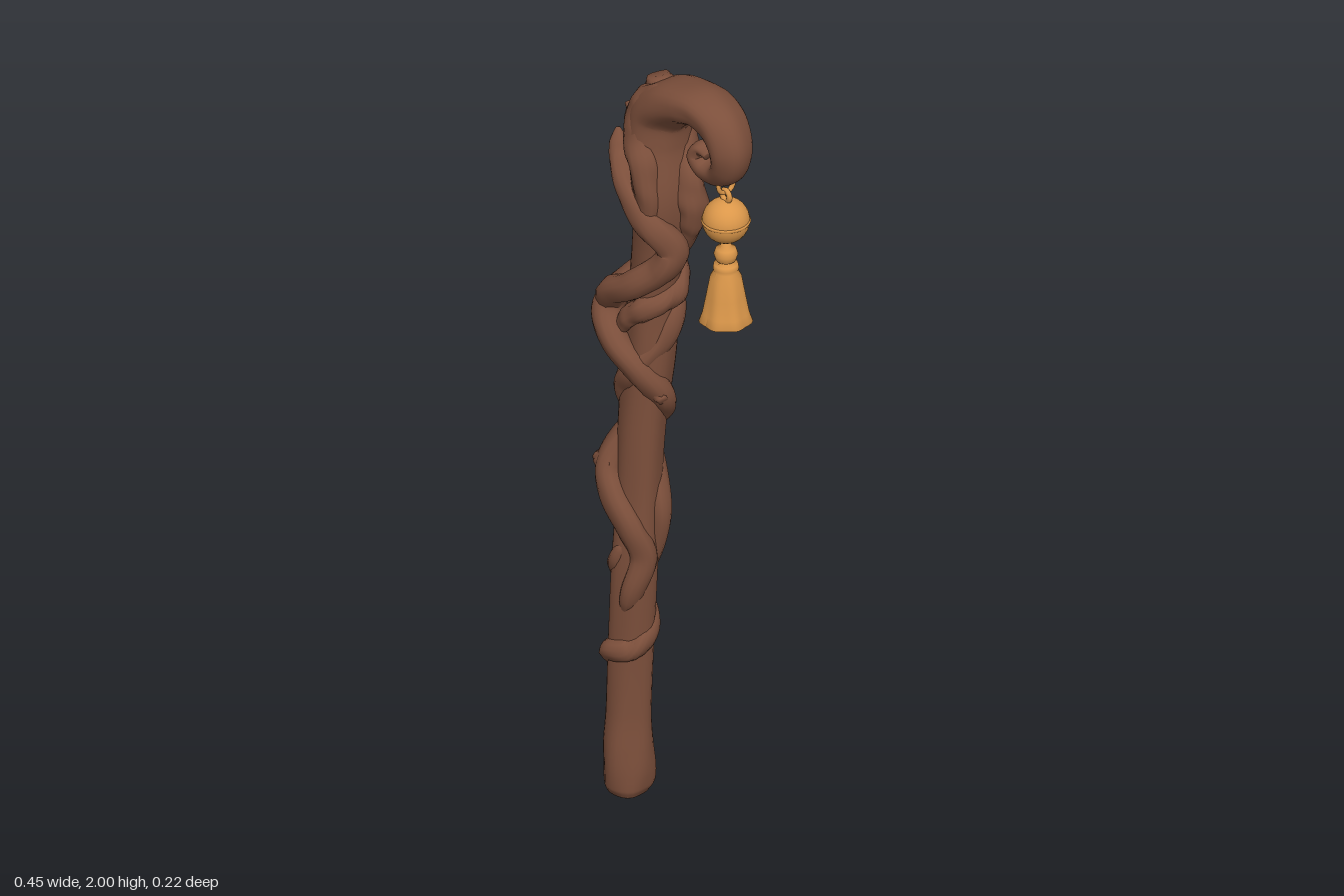
import * as THREE from 'three';

const wood = new THREE.MeshStandardMaterial({ color: 0x7c4f3b });
wood.name = 'brown wood';
const gold = new THREE.MeshStandardMaterial({ color: 0xdb974a });
gold.name = 'warm gold';

// Sweeps a gnarled oval section along points [x, y, z, radius, depthRadius]
function sweep(pts, steps, sides, gnarl, seed, roundEnds) {
  const path = new THREE.CatmullRomCurve3(pts.map(p => new THREE.Vector3(p[0], p[1], p[2])));
  const radii = new THREE.CatmullRomCurve3(pts.map(p => new THREE.Vector3(p[3], p[4] ?? p[3], 0)), false, 'catmullrom', .4);
  const pos = [], idx = [];
  const Z = new THREE.Vector3(0, 0, 1);
  for (let i = 0; i <= steps; i++) {
    const t = i / steps;
    const c = path.getPoint(t), r = radii.getPoint(t), T = path.getTangent(t);
    const N = new THREE.Vector3().crossVectors(Z, T).normalize();
    const B = new THREE.Vector3().crossVectors(T, N);
    const end = roundEnds ? Math.min(1, Math.sqrt(Math.min(t, 1 - t) * 20 + 0.08)) : 1;
    for (let j = 0; j < sides; j++) {
      const a = j / sides * Math.PI * 2;
      const k = end * (1 + gnarl * (Math.sin(3 * a + t * 17 + seed)
        + 0.6 * Math.sin(5 * a - t * 26 + seed * 2) + 0.5 * Math.sin(a + t * 40 + seed)));
      const p = c.clone().addScaledVector(N, Math.cos(a) * r.x * k).addScaledVector(B, Math.sin(a) * r.y * k);
      pos.push(p.x, Math.max(0, p.y), p.z);
    }
  }
  for (let i = 0; i < steps; i++) for (let j = 0; j < sides; j++) {
    const a = i * sides + j, b = i * sides + (j + 1) % sides;
    idx.push(a, b, a + sides, b, b + sides, a + sides);
  }
  // End caps
  const s = path.getPoint(0), e = path.getPoint(1), n = pos.length / 3, last = steps * sides;
  pos.push(s.x, s.y, s.z, e.x, e.y, e.z);
  for (let j = 0; j < sides; j++) {
    const k = (j + 1) % sides;
    idx.push(n, k, j, n + 1, last + j, last + k);
  }
  const g = new THREE.BufferGeometry();
  g.setAttribute('position', new THREE.Float32BufferAttribute(pos, 3));
  g.setIndex(idx);
  g.computeVertexNormals();
  return g;
}

function add(parent, name, geometry, material, x = 0, y = 0, z = 0) {
  const m = new THREE.Mesh(geometry, material);
  m.name = name;
  m.position.set(x, y, z);
  parent.add(m);
  return m;
}

export function createModel() {
  const staff = new THREE.Group();
  staff.name = 'staff';

  // Shaft running into the crook and its inward curl
  add(staff, 'shaftAndCrook', sweep([
    [-.125, 0, .035, .05], [-.125, .02, .035, .06], [-.125, .06, .035, .062], [-.125, .12, .035, .06],
    [-.122, .22, .033, .054],
    [-.118, .4, .03, .054], [-.112, .6, .026, .055], [-.115, .8, .01, .054], [-.113, 1, 0, .057],
    [-.105, 1.2, -.015, .062], [-.1, 1.36, -.02, .06], [-.08, 1.5, -.02, .063], [-.06, 1.65, -.02, .067, .076],
    [-.083, 1.79, -.025, .07, .078], [-.078, 1.87, -.03, .07, .08], [-.03, 1.915, -.032, .06, .08],
    [.04, 1.944, -.033, .05, .075], [.095, 1.952, -.034, .046, .068], [.15, 1.93, -.037, .046, .062],
    [.18, 1.88, -.038, .045, .056], [.173, 1.83, -.038, .039, .048], [.138, 1.795, -.036, .032, .04],
    [.095, 1.79, -.033, .029, .035], [.067, 1.815, -.03, .025, .031], [.082, 1.838, -.03, .02, .026],
    [.105, 1.828, -.03, .012, .016],
  ], 270, 28, .04, .7, false), wood);

  // Roots and vines winding around the shaft
  const vines = {
    lowerVine: [[-.15, .3, .02, .018], [-.155, .36, .05, .026], [-.13, .395, .078, .029], [-.085, .41, .055, .03],
      [-.08, .45, .01, .026], [-.12, .52, -.005, .026], [-.153, .58, .03, .026], [-.13, .64, .062, .024], [-.1, .7, .055, .014]],
    middleVine: [[-.11, .48, .06, .016], [-.085, .57, .055, .028], [-.07, .66, .03, .033], [-.088, .74, .055, .033],
      [-.135, .82, .07, .034], [-.168, .88, .058, .036], [-.152, .97, .005, .033], [-.1, 1.03, -.04, .03],
      [-.062, 1.1, -.015, .034], [-.08, 1.17, .035, .034], [-.14, 1.24, .065, .035], [-.185, 1.31, .05, .038],
      [-.15, 1.39, 0, .035], [-.1, 1.45, -.055, .03], [-.055, 1.52, -.06, .022]],
    backVine: [[-.13, .55, 0, .016], [-.085, .68, -.015, .028], [-.075, .77, -.02, .03], [-.11, .88, -.027, .03],
      [-.148, 1.0, -.015, .028], [-.145, 1.1, .025, .029], [-.1, 1.17, .033, .03], [-.065, 1.25, -.02, .032],
      [-.065, 1.32, -.05, .033], [-.11, 1.4, -.065, .03], [-.137, 1.48, -.035, .028], [-.1, 1.58, .025, .022]],
    crossingRoot: [[-.14, 1.26, .045, .016], [-.11, 1.31, .04, .026], [-.065, 1.35, .02, .031], [-.045, 1.38, -.04, .031],
      [-.08, 1.43, -.075, .028], [-.125, 1.5, -.045, .02]],
    branch: [[-.16, 1.2, .01, .018], [-.19, 1.3, .03, .032], [-.15, 1.37, .062, .035], [-.075, 1.42, .055, .034],
      [-.018, 1.475, .02, .037], [.002, 1.53, 0, .038], [-.028, 1.59, .035, .036], [-.08, 1.64, .05, .032],
      [-.14, 1.675, .035, .03], [-.19, 1.705, .01, .025], [-.215, 1.765, -.005, .017]],
    upperVine: [[-.065, 1.47, -.055, .022], [-.022, 1.56, -.062, .034], [0, 1.62, -.06, .038], [-.008, 1.69, -.055, .038],
      [-.045, 1.77, -.068, .036], [-.06, 1.85, -.08, .03], [-.02, 1.91, -.078, .022]],
    crookRoot: [[-.05, 1.55, .04, .018], [-.045, 1.66, .035, .033], [-.062, 1.75, .036, .037], [-.098, 1.82, .022, .038],
      [-.1, 1.89, .005, .036], [-.055, 1.93, -.002, .032], [.02, 1.95, -.005, .025]],
    sideRoot: [[-.11, 1.6, -.045, .018], [-.11, 1.7, -.04, .03], [-.125, 1.78, -.035, .033], [-.118, 1.88, -.045, .034],
      [-.065, 1.935, -.055, .03]],
  };
  Object.entries(vines).forEach(([name, pts], i) =>
    add(staff, name, sweep(pts, pts.length * 9, 14, .06, i * 1.7, true), wood));

  // Broken twig stubs and knots
  const stubs = [
    [[-.13, 1.8, -.01, .026], [-.152, 1.825, -.01, .021], [-.176, 1.855, -.01, .013]],
    [[-.07, 1.9, -.03, .046], [-.083, 1.935, -.03, .04], [-.093, 1.96, -.03, .028]],
    [[-.07, 1.13, .0, .022], [-.045, 1.11, .005, .019], [-.027, 1.1, .005, .012]],
    [[-.15, .89, .05, .03], [-.18, .885, .06, .028], [-.208, .885, .062, .016]],
    [[-.1, .42, .05, .024], [-.075, .425, .045, .022], [-.06, .43, .04, .014]],
  ];
  stubs.forEach((pts, i) => add(staff, 'twigStub' + (i + 1), sweep(pts, 10, 10, .05, i, false), wood));

  // Hanging charm: links, round bell, tassel
  const charm = new THREE.Group();
  charm.name = 'charm';
  charm.position.set(.16, 0, -.037);
  staff.add(charm);
  const link = add(charm, 'upperLink', new THREE.TorusGeometry(.022, .006, 8, 20), gold, 0, 1.773);
  link.rotation.y = Math.PI / 2;
  add(charm, 'lowerLink', new THREE.TorusGeometry(.014, .007, 8, 18), gold, 0, 1.742);
  add(charm, 'bell', new THREE.SphereGeometry(.057, 28, 18), gold, 0, 1.675);
  const rim = add(charm, 'bellRim', new THREE.TorusGeometry(.055, .0045, 8, 32), gold, 0, 1.675);
  rim.rotation.x = Math.PI / 2;

  const profile = [[0, 1.63], [.012, 1.628], [.013, 1.605], [.024, 1.598], [.029, 1.583], [.024, 1.567], [.018, 1.562],
    [.029, 1.556], [.031, 1.545], [.029, 1.536], [.038, 1.52], [.047, 1.47], [.055, 1.425], [.063, 1.402],
    [.055, 1.4], [0, 1.408]].reverse();
  const tassel = new THREE.LatheGeometry(profile.map(p => new THREE.Vector2(p[0], p[1])), 48);
  // Folds deepen toward the tassel's hem
  const v = tassel.attributes.position;
  for (let i = 0; i < v.count; i++) {
    const x = v.getX(i), y = v.getY(i), z = v.getZ(i);
    const k = 1 + .035 * THREE.MathUtils.clamp((1.54 - y) / .12, 0, 1) * Math.sin(Math.atan2(z, x) * 7);
    v.setXYZ(i, x * k, y, z * k);
  }
  tassel.computeVertexNormals();
  add(charm, 'tassel', tassel, gold);

  return staff;
}
